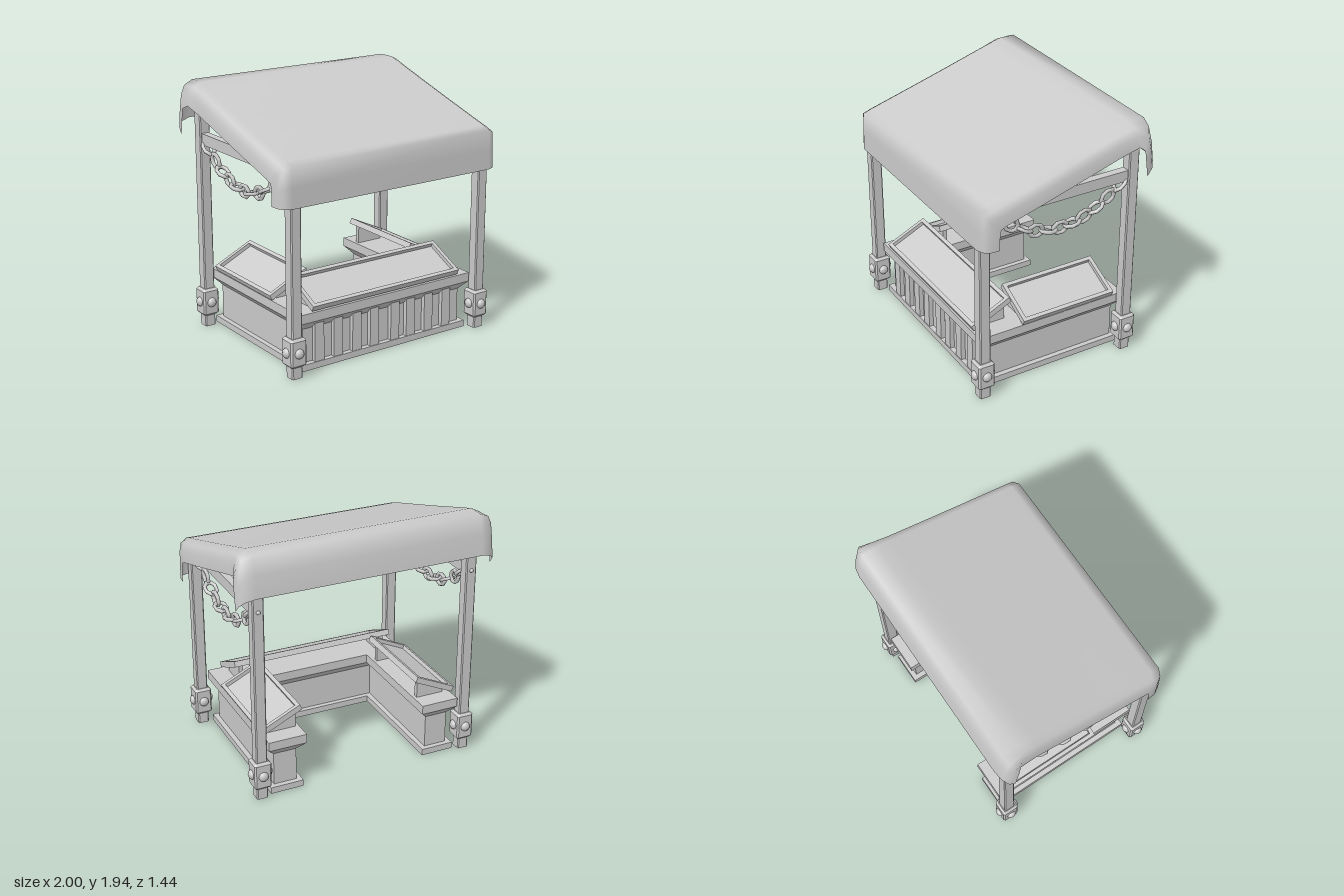
import * as THREE from 'three';

const grey = new THREE.MeshStandardMaterial({ color: 0xcccccc, flatShading: true });
const smooth = new THREE.MeshStandardMaterial({ color: 0xcccccc });
const cloth = new THREE.MeshStandardMaterial({ color: 0xcccccc, side: THREE.DoubleSide });

function add(parent, name, geometry, x = 0, y = 0, z = 0, material = grey) {
  const mesh = new THREE.Mesh(geometry, material);
  mesh.name = name;
  mesh.position.set(x, y, z);
  parent.add(mesh);
  return mesh;
}

const box = (w, h, d) => new THREE.BoxGeometry(w, h, d);

// Upright square bar with cut corners, standing on y = 0
function bar(width, height, cut, bevel = 0) {
  const h = width / 2, c = h - cut;
  const shape = new THREE.Shape([[h, -c], [h, c], [c, h], [-c, h], [-h, c], [-h, -c], [-c, -h], [c, -h]]
    .map(p => new THREE.Vector2(...p)));
  const g = new THREE.ExtrudeGeometry(shape, {
    depth: height - 2 * bevel, bevelEnabled: bevel > 0, bevelSegments: 1,
    bevelSize: bevel, bevelThickness: bevel, bevelOffset: -bevel,
  });
  return g.translate(0, 0, bevel).rotateX(-Math.PI / 2);
}

// U-shaped counter outline, open at the back, shrunk by an inset
function outline(inset) {
  const x = 0.78 - inset, z = 0.62 - inset, w = 0.3 - 2 * inset;
  return [[-x, -z], [x, -z], [x, z], [x - w, z], [x - w, w - z], [w - x, w - z], [w - x, z], [-x, z]]
    .map(p => new THREE.Vector2(...p));
}

function slab(inset, y0, y1) {
  return new THREE.ExtrudeGeometry(new THREE.Shape(outline(inset)), { depth: y1 - y0, bevelEnabled: false })
    .rotateX(-Math.PI / 2).translate(0, y0, 0);
}

// Sloping moulding between two outlines
function flare(inset0, y0, inset1, y1) {
  const lo = outline(inset0), hi = outline(inset1), pos = [];
  lo.forEach((a, i) => {
    const j = (i + 1) % lo.length;
    const A = [a.x, y0, -a.y], B = [lo[j].x, y0, -lo[j].y];
    const C = [hi[j].x, y1, -hi[j].y], D = [hi[i].x, y1, -hi[i].y];
    pos.push(...A, ...B, ...C, ...A, ...C, ...D);
  });
  const g = new THREE.BufferGeometry();
  g.setAttribute('position', new THREE.Float32BufferAttribute(pos, 3));
  g.computeVertexNormals();
  return g;
}

// Tilted display tray whose lower edge lies at z = edge
function tray(length, edge) {
  const group = new THREE.Group(), tilted = new THREE.Group();
  const depth = 0.35, rim = 0.03, high = 0.045;
  group.name = 'displayTray';
  tilted.name = 'trayTop';
  tilted.position.set(0, 0.452, edge);
  tilted.rotation.x = 0.44;
  group.add(tilted);
  add(tilted, 'trayPanel', box(length - 0.02, 0.015, depth - 0.02), 0, 0.008, -depth / 2);
  for (const s of [-1, 1]) {
    add(tilted, 'traySideRim', box(rim, high, depth), s * (length - rim) / 2, high / 2, -depth / 2);
    add(tilted, 'trayLongRim', box(length - 2 * rim, high, rim), 0, high / 2, -depth / 2 + s * (depth - rim) / 2);
    // wedge support under each end
    const wedge = new THREE.Shape([[0.06, 0], [0.28, 0], [0.28, 0.14], [0.06, 0.04]].map(p => new THREE.Vector2(...p)));
    const g = new THREE.ExtrudeGeometry(wedge, { depth: 0.035, bevelEnabled: false })
      .rotateY(Math.PI / 2).translate(-0.0175, 0, 0);
    add(group, 'trayWedge', g, s * (length / 2 - 0.06), 0.443, edge);
  }
  return group;
}

// Draped cloth: each row gives the ridge (z, y), the side hem (z, y) and the hem x
function canopy() {
  const rows = [
    [0.70, 1.27, 0.565, 1.27, 0.965], [0.695, 1.42, 0.565, 1.36, 0.965], [0.69, 1.57, 0.555, 1.43, 0.965],
    [0.62, 1.595, 0.50, 1.452, 0.965], [0.3, 1.69, 0.25, 1.523, 0.965], [0, 1.78, -0.02, 1.603, 0.965],
    [-0.4, 1.904, -0.43, 1.725, 0.965], [-0.52, 1.94, -0.56, 1.765, 0.975], [-0.65, 1.94, -0.59, 1.745, 1.0],
    [-0.69, 1.80, -0.605, 1.64, 1.0], [-0.71, 1.64, -0.62, 1.535, 1.0],
  ];
  // across: share of the width beyond 0.88, share of the drop
  const side = [[0, 0], [0.62, 0.17], [0.94, 0.5], [1, 1]];
  const across = [...side.map(([u, t]) => [-1, u, t]).reverse(), ...side.map(([u, t]) => [1, u, t])];
  const pos = [], index = [], n = across.length;
  for (const [z, y, hz, hy, hx] of rows)
    for (const [s, u, t] of across)
      pos.push(s * (0.88 + (hx - 0.88) * u), y + (hy - y) * t, z + (hz - z) * t);
  for (let r = 0; r < rows.length - 1; r++)
    for (let c = 0; c < n - 1; c++) {
      const a = r * n + c;
      index.push(a, a + 1, a + n + 1, a, a + n + 1, a + n);
    }
  const g = new THREE.BufferGeometry();
  g.setAttribute('position', new THREE.Float32BufferAttribute(pos, 3));
  g.setIndex(index);
  g.computeVertexNormals();
  return g;
}

export function createModel() {
  const stall = new THREE.Group();
  stall.name = 'marketStall';

  // Posts with footing blocks and round studs
  const stud = new THREE.SphereGeometry(0.038, 10, 8);
  for (const x of [-0.84, 0.84])
    for (const [z, height] of [[0.635, 1.54], [-0.59, 1.77]]) {
      const post = new THREE.Group();
      post.name = 'cornerPost';
      post.position.set(x, 0, z);
      stall.add(post);
      add(post, 'post', bar(0.086, height, 0.008));
      add(post, 'footBlock', bar(0.132, 0.22, 0.012, 0.018), 0, 0.09);
      for (let i = 0; i < 4; i++) {
        const a = i * Math.PI / 2;
        const m = add(post, 'stud', stud, Math.sin(a) * 0.064, 0.2, Math.cos(a) * 0.064, smooth);
        m.rotation.y = a;
        m.scale.z = 0.8;
      }
      if (z < 0) add(post, 'bolt', new THREE.SphereGeometry(0.016, 8, 6), 0, 1.5, -0.043, smooth);
    }

  // Beams under the roof
  for (const x of [-0.84, 0.84]) add(stall, 'sideBeam', box(0.06, 0.085, 1.16), x, 1.502, 0.02);
  add(stall, 'frontBeam', box(1.62, 0.085, 0.06), 0, 1.5, 0.635);

  add(stall, 'canopy', canopy(), 0, 0, 0, cloth);

  // U-shaped counter
  add(stall, 'counterPlinth', slab(0.02, 0, 0.05));
  add(stall, 'counterWall', slab(0.06, 0.05, 0.31));
  add(stall, 'counterMoulding', flare(0.06, 0.31, 0, 0.375));
  add(stall, 'counterTop', slab(0, 0.375, 0.445));
  for (const x of [-0.595, -0.428, -0.262, -0.102, 0.088, 0.235, 0.406, 0.577])
    add(stall, 'frontPlank', box(0.08, 0.315, 0.04), x, 0.2075, 0.575);

  // Display trays on the three counter arms
  stall.add(tray(1.34, 0.61));
  for (const s of [-1, 1]) {
    const t = tray(0.785, 0.785);
    t.rotation.y = s * Math.PI / 2;
    t.position.z = -0.127;
    stall.add(t);
  }

  // Hanging chains, every second link turned a quarter
  const link = new THREE.TorusGeometry(0.042, 0.0145, 6, 8)
    .rotateZ(Math.PI / 8).scale(1.4, 1.05, 1).rotateY(Math.PI / 2);
  for (const x of [-0.84, 0.84]) {
    const chain = new THREE.Group();
    chain.name = 'chain';
    stall.add(chain);
    for (let i = -5; i <= 5; i++) {
      const z = i * 0.1;
      const m = add(chain, 'chainLink', link, x, 1.225 + 0.85 * z * z, z, smooth);
      m.rotation.x = -Math.atan(1.7 * z);
      if (i % 2) m.rotateZ(Math.PI / 2);
    }
  }
  return stall;
}
